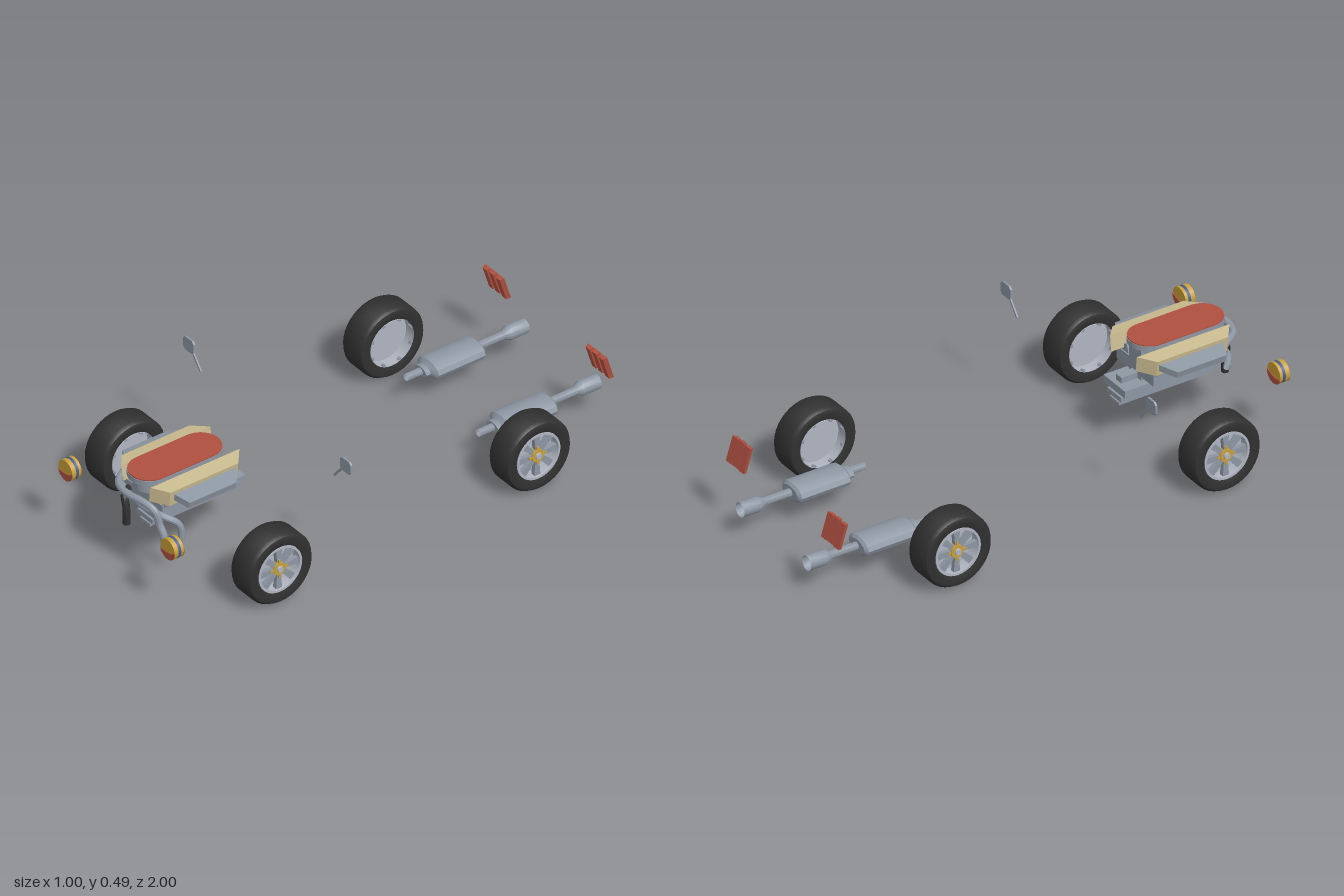
import * as THREE from 'three';
import { toCreasedNormals } from 'three/addons/utils/BufferGeometryUtils.js';

const mat = (name, color, side = THREE.FrontSide) => {
  const m = new THREE.MeshStandardMaterial({ color, side });
  m.name = name;
  return m;
};

export function createModel() {
  const root = new THREE.Group();
  root.name = 'carParts';
  const D = THREE.DoubleSide;
  const steel = mat('steel', 0x8d97a3, D), alloy = mat('alloy', 0xb0b5c0, D);
  const rubber = mat('rubber', 0x303030), cream = mat('cream', 0xc9ba8f);
  const red = mat('red', 0xb05040), gold = mat('gold', 0xc99f38), blue = mat('blue', 0x3f5a96);

  const add = (parent, name, geo, m, x = 0, y = 0, z = 0) => {
    const mesh = new THREE.Mesh(toCreasedNormals(geo, 0.6), m);
    mesh.name = name;
    mesh.position.set(x, y, z);
    parent.add(mesh);
    return mesh;
  };
  const group = (name, x = 0, y = 0, z = 0) => {
    const g = new THREE.Group();
    g.name = name;
    g.position.set(x, y, z);
    root.add(g);
    return g;
  };
  const box = (w, h, d) => new THREE.BoxGeometry(w, h, d);
  const polygon = pts => new THREE.Shape(pts.map(p => new THREE.Vector2(p[0], p[1])));
  const extrude = (shape, depth) => new THREE.ExtrudeGeometry(shape, { depth, bevelEnabled: false, curveSegments: 16 });
  // plan outline (x, z) raised by a height, centred vertically
  const slab = (shape, h) => extrude(shape, h).translate(0, 0, -h / 2).rotateX(Math.PI / 2);
  const lathe = (pts, n) => new THREE.LatheGeometry(pts.map(p => new THREE.Vector2(p[0], p[1])), n).rotateZ(-Math.PI / 2);

  // Wheels, outer face along local +x
  const wheel = (name, side, z) => {
    const g = group(name, side * 0.437, 0.147, z);
    if (side < 0) g.rotation.y = Math.PI;
    add(g, 'tyre', lathe([[0.098, -0.052], [0.125, -0.06], [0.138, -0.056], [0.147, -0.042], [0.147, 0.042],
      [0.138, 0.056], [0.125, 0.06], [0.098, 0.052], [0.098, -0.052]], 36), rubber);
    add(g, 'rimBarrel', lathe([[0.097, -0.055], [0.097, 0.054], [0.088, 0.054], [0.086, 0.03]], 36), alloy);
    add(g, 'rimBack', new THREE.CylinderGeometry(0.097, 0.097, 0.006, 36).rotateZ(Math.PI / 2), alloy, -0.005);
    for (let i = 0; i < 8; i++) {
      const a = i * Math.PI / 4;
      const spoke = extrude(polygon([[-0.008, 0.02], [0.008, 0.02], [0.014, 0.09], [-0.014, 0.09]]), 0.018);
      add(g, 'spoke', spoke.rotateY(Math.PI / 2).rotateX(a), steel, 0.027);
      add(g, 'rimBolt', box(0.012, 0.007, 0.012).translate(0, 0.092, 0).rotateX(a + 0.39), steel, -0.048);
    }
    add(g, 'hub', new THREE.CylinderGeometry(0.026, 0.028, 0.024, 16).rotateZ(-Math.PI / 2), gold, 0.038);
    add(g, 'hubCap', new THREE.CylinderGeometry(0.012, 0.014, 0.008, 12).rotateZ(-Math.PI / 2), alloy, 0.053);
    for (let i = 0; i < 4; i++) {
      add(g, 'hubArm', box(0.012, 0.034, 0.008).translate(0, 0.022, 0).rotateX(i * Math.PI / 2), gold, 0.043);
    }
  };

  // Hollow exhaust lofted from elliptical rings [z, rx, ry]
  const exhaust = side => {
    const rings = [[-0.465, 0.015, 0.014], [-0.53, 0.015, 0.014], [-0.53, 0.036, 0.019], [-0.55, 0.036, 0.019],
      [-0.555, 0.047, 0.024], [-0.565, 0.064, 0.036], [-0.775, 0.064, 0.036], [-0.785, 0.05, 0.026],
      [-0.785, 0.016, 0.015], [-0.9, 0.016, 0.015], [-0.925, 0.029, 0.03], [-1, 0.029, 0.03]];
    const n = 12, pos = [], idx = [];
    rings.forEach(([z, rx, ry], k) => {
      for (let i = 0; i < n; i++) {
        const a = i / n * Math.PI * 2;
        pos.push(rx * Math.cos(a), ry * Math.sin(a), z);
        if (k) {
          const p = (k - 1) * n, j = (i + 1) % n;
          idx.push(p + i, p + n + i, p + j, p + j, p + n + i, p + n + j);
        }
      }
    });
    const geo = new THREE.BufferGeometry();
    geo.setAttribute('position', new THREE.Float32BufferAttribute(pos, 3));
    geo.setIndex(idx);
    // reverse the winding so that faces point outward
    const ix = geo.index.array;
    for (let i = 0; i < ix.length; i += 3) [ix[i + 1], ix[i + 2]] = [ix[i + 2], ix[i + 1]];
    geo.index.needsUpdate = true;
    add(group('exhaust', side * 0.215, 0.12, 0), 'mufflerAndPipes', geo, steel);
  };

  // Wing mirrors
  const mirror = side => {
    const g = group('wingMirror', 0, 0, 0.318);
    const c = 0.011, w = 0.032, h = 0.028;
    add(g, 'mirrorHead', extrude(polygon([[-w + c, -h], [w - c, -h], [w, -h + c], [w, h - c], [w - c, h],
      [-w + c, h], [-w, h - c], [-w, -h + c]]), 0.008), steel, side * 0.468, 0.457, -0.004);
    const stem = add(g, 'mirrorStem', box(0.008, 0.088, 0.006), steel, side * 0.426, 0.412, 0);
    stem.rotation.z = -side * 0.68;
  };

  // Headlamps: gold and blue drum with a red lower segment on each face
  const headlamp = side => {
    const g = group('headlamp', side * 0.305, 0.287, 0), r = 0.042;
    [[0.961, 0.012, gold], [0.973, 0.012, blue], [0.988, 0.018, gold]].forEach(([z, d, m]) =>
      add(g, 'lampDrum', new THREE.CylinderGeometry(r, r, d, 24).rotateX(Math.PI / 2), m, 0, 0, z));
    const seg = new THREE.Shape();
    seg.absarc(0, 0, r, Math.PI + 0.3, Math.PI * 2 + 0.1, false);
    seg.quadraticCurveTo(0.012, -0.02, r * Math.cos(Math.PI + 0.3), r * Math.sin(Math.PI + 0.3));
    [0.996, 0.953].forEach(z => add(g, 'lampSegment', extrude(seg, 0.003), red, 0, 0, z));
  };

  // Tail lamps: three leaning blades
  const tailLamp = side => {
    const g = group('tailLamp', side * 0.307, 0.285, -0.94);
    g.rotation.x = 0.3;
    [-1, 0, 1].forEach(i => {
      const blade = extrude(polygon([[-0.018, 0.008], [-0.012, -0.009], [0.012, -0.009], [0.018, 0.008]].map(p => [p[0], -p[1]])), 0.1);
      add(g, 'lampBlade', blade.translate(0, 0, -0.05).rotateX(Math.PI / 2), red, i * 0.039, i ? 0 : 0.002, 0);
    });
    add(g, 'lampBridge', box(0.1, 0.068, 0.006), red, 0, 0, -0.004);
  };

  for (const s of [1, -1]) {
    wheel('frontWheel', s, 0.63);
    wheel('rearWheel', s, -0.53);
    exhaust(s);
    mirror(s);
    headlamp(s);
    tailLamp(s);
  }

  // Engine: stacked sump, block, covers and air filter
  const e = group('engine');
  add(e, 'block', box(0.24, 0.05, 0.32), steel, 0, 0.295, 0.72);
  add(e, 'valley', box(0.08, 0.14, 0.32), steel, 0, 0.325, 0.72);
  [[0.14, 0.03, 0.24], [0.09, 0.02, 0.205], [0.06, 0.012, 0.182]].forEach(([w, h, y]) =>
    add(e, 'sumpLayer', box(w, h, 0.4), steel, 0, y, 0.67));
  add(e, 'sumpCore', box(0.035, 0.1, 0.36), steel, 0, 0.229, 0.67);

  const stadium = r => {
    const s = new THREE.Shape();
    s.absarc(0, 0.85, r, 0, Math.PI, false);
    s.absarc(0, 0.62, r, Math.PI, Math.PI * 2, false);
    return s;
  };
  add(e, 'filterBody', slab(stadium(0.081), 0.02), steel, 0, 0.397, 0);
  add(e, 'filterNeck', slab(stadium(0.06), 0.05), steel, 0, 0.365, 0);
  add(e, 'filterTop', slab(stadium(0.079), 0.005), red, 0, 0.409, 0);

  for (const s of [1, -1]) {
    const plan = (x0, x1, a, b, c, d) => polygon([[s * x0, a], [s * x1, b], [s * x1, c], [s * x0, d]]);
    const cover = add(e, 'valveCover', slab(plan(-0.03, 0.03, 0.51, 0.56, 0.865, 0.91), 0.064), cream, s * 0.112, 0.361, 0);
    cover.rotation.z = -s * 0.13;
    const manifold = add(e, 'manifold', slab(plan(-0.04, 0.032, 0.56, 0.61, 0.82, 0.85), 0.028), steel, s * 0.168, 0.352, 0);
    manifold.rotation.z = -s * 0.25;
    const head = add(e, 'cylinderHead', box(0.07, 0.06, 0.31), steel, s * 0.085, 0.315, 0.72);
    head.rotation.z = -s * 0.3;
  }

  // Front pipes and hose
  const pipe = (name, pts, r, m) => add(e, name, new THREE.TubeGeometry(
    new THREE.CatmullRomCurve3(pts.map(p => new THREE.Vector3(...p))), 32, r, 10), m);
  pipe('upperPipe', [[-0.12, 0.343, 0.87], [-0.07, 0.345, 0.935], [0, 0.346, 0.955], [0.09, 0.346, 0.94],
    [0.135, 0.325, 0.925], [0.148, 0.27, 0.915], [0.168, 0.23, 0.91], [0.17, 0.168, 0.91]], 0.014, steel);
  pipe('lowerPipe', [[-0.175, 0.285, 0.84], [-0.1, 0.286, 0.89], [0.06, 0.288, 0.905], [0.13, 0.285, 0.885],
    [0.165, 0.25, 0.84], [0.168, 0.17, 0.83]], 0.013, steel);
  pipe('hose', [[-0.08, 0.292, 0.88], [-0.06, 0.285, 0.915], [-0.044, 0.24, 0.92], [-0.042, 0.17, 0.92]], 0.014, rubber);
  return root;
}
